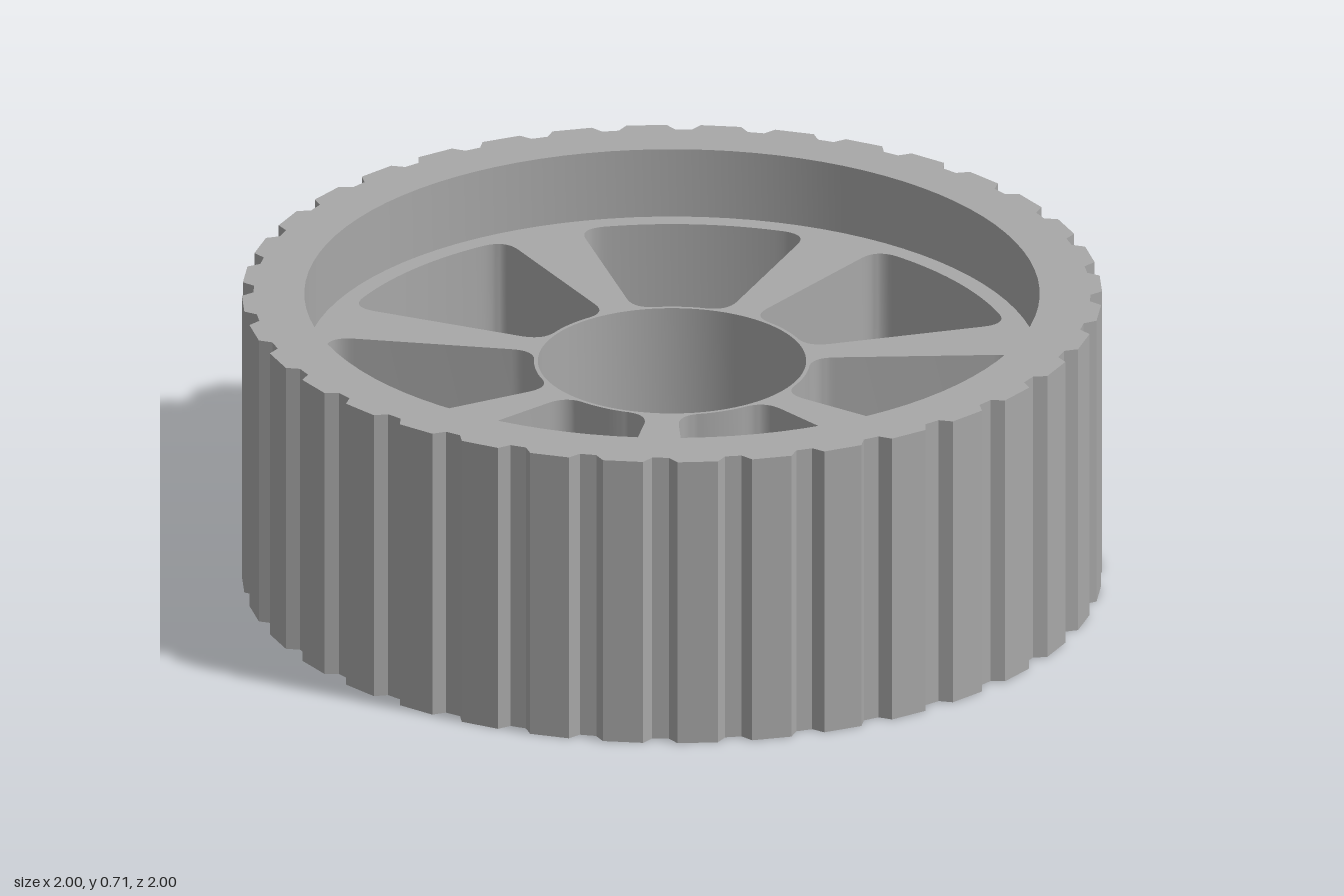
import * as THREE from 'three';
import { toCreasedNormals } from 'three/addons/utils/BufferGeometryUtils.js';

const HEIGHT = 0.71, WEB_TOP = 0.54, FLOOR_TOP = 0.1;
const RIM_R = 0.855, CUP_R = 0.312;
const TEETH = 36, SPOKES = 7;

const polar = (r, a) => new THREE.Vector2(r * Math.cos(a), r * Math.sin(a));

function circle(r, x = 0, y = 0, Type = THREE.Path) {
  const path = new Type();
  path.absarc(x, y, r, 0, Math.PI * 2, false);
  return path;
}

// Outer outline: flat lands separated by shallow trapezoid grooves
function treadShape() {
  const pts = [];
  const profile = [[1, -0.047], [1, 0.047], [0.973, 0.067], [0.973, 0.107]];
  for (let i = 0; i < TEETH; i++) {
    for (const [r, a] of profile) pts.push(polar(r, a + (i * Math.PI * 2) / TEETH));
  }
  return new THREE.Shape(pts);
}

// Opening between two spokes, with rounded corners
function windowPath(turn) {
  const ro = 0.81, ri = 0.321, ao = 0.335, ai = 0.345, round = 0.06;
  const outer = polar(ro, ao), inner = polar(ri, ai);
  const dir = inner.clone().sub(outer).normalize();
  const sideOut = outer.clone().addScaledVector(dir, round);
  const sideIn = inner.clone().addScaledVector(dir, -round);
  const co = ao - round / ro, ci = ai - round / ri;
  const p = new THREE.Path();
  p.absarc(0, 0, ro, -co, co, false);
  p.quadraticCurveTo(outer.x, outer.y, sideOut.x, sideOut.y);
  p.lineTo(sideIn.x, sideIn.y);
  const innerStart = polar(ri, ci);
  p.quadraticCurveTo(inner.x, inner.y, innerStart.x, innerStart.y);
  p.absarc(0, 0, ri, ci, -ci, true);
  p.quadraticCurveTo(inner.x, -inner.y, sideIn.x, -sideIn.y);
  p.lineTo(sideOut.x, -sideOut.y);
  const end = polar(ro, -co);
  p.quadraticCurveTo(outer.x, -outer.y, end.x, end.y);
  const origin = new THREE.Vector2();
  return new THREE.Path(p.getPoints(10).map((v) => v.rotateAround(origin, turn)));
}

export function createModel() {
  const group = new THREE.Group();
  group.name = 'wheel';
  const grey = new THREE.MeshStandardMaterial({ color: 0xa8a8a8 });
  grey.name = 'grey plastic';

  // Extrudes a flat outline upward from the ground
  const addPart = (name, shape, depth) => {
    const geo = new THREE.ExtrudeGeometry(shape, { depth, bevelEnabled: false, curveSegments: 48 });
    geo.rotateX(-Math.PI / 2);
    const mesh = new THREE.Mesh(toCreasedNormals(geo, 0.5), grey);
    mesh.name = name;
    group.add(mesh);
  };

  // Grooved tread ring
  const tread = treadShape();
  tread.holes.push(circle(RIM_R));
  addPart('tread', tread, HEIGHT);

  // Recessed spoked web around the hub cup
  const web = circle(RIM_R, 0, 0, THREE.Shape);
  web.holes.push(circle(CUP_R));
  for (let i = 0; i < SPOKES; i++) web.holes.push(windowPath((i * Math.PI * 2) / SPOKES));
  addPart('spokes', web, WEB_TOP);

  // Hub floor with axle hole and four screw holes
  const floor = circle(CUP_R, 0, 0, THREE.Shape);
  floor.holes.push(circle(0.068));
  for (const x of [-0.15, 0.15]) {
    for (const y of [-0.15, 0.15]) floor.holes.push(circle(0.04, x, y));
  }
  addPart('hubFloor', floor, FLOOR_TOP);

  return group;
}
